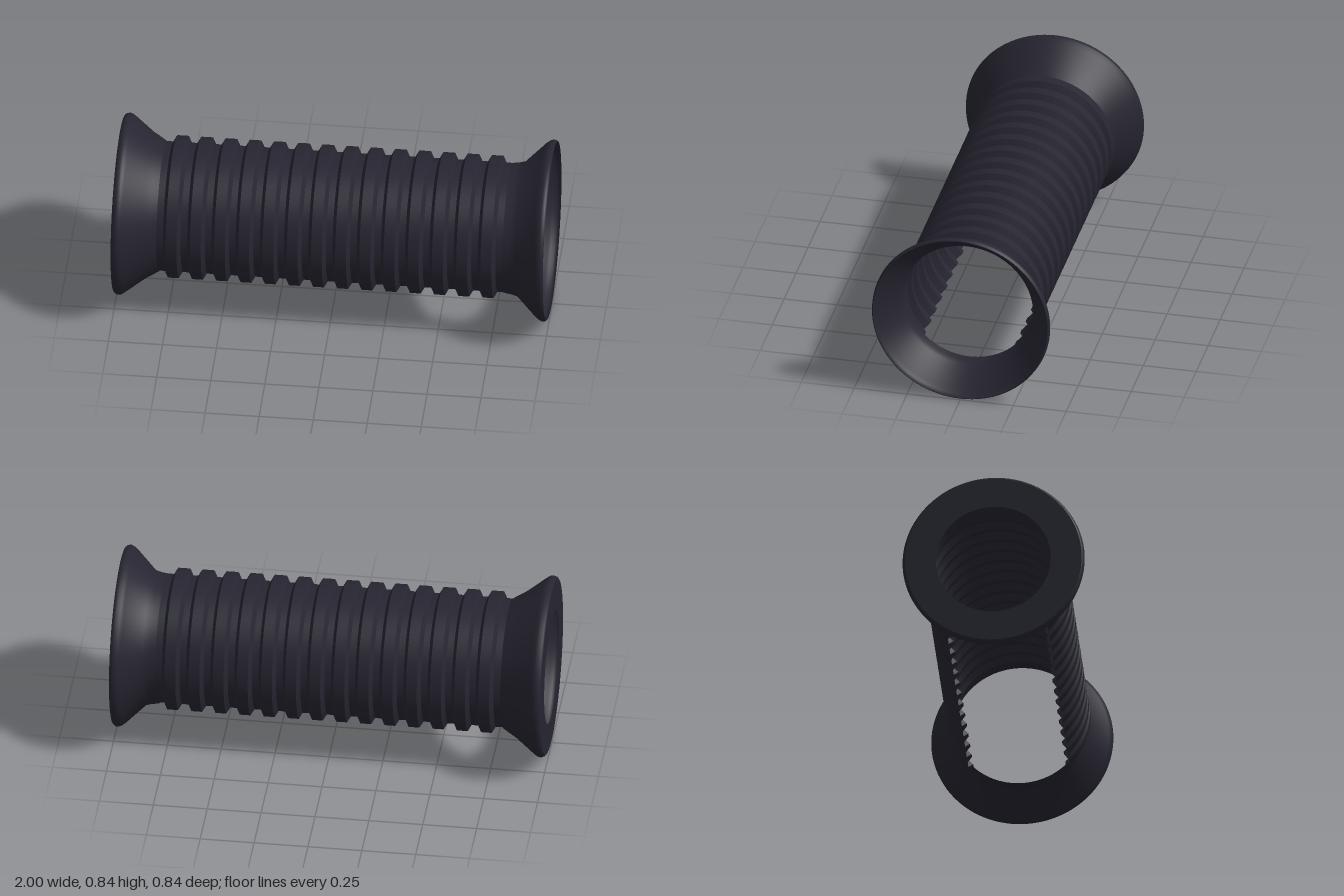
import * as THREE from 'three';
import { toCreasedNormals } from 'three/addons/utils/BufferGeometryUtils.js';

const AXIS_HEIGHT = 0.42;

export function createModel() {
  const model = new THREE.Group();
  model.name = 'ribbedGripSleeve';

  const rubber = new THREE.MeshStandardMaterial({ color: 0x262531, side: THREE.DoubleSide });
  rubber.name = 'darkRubber';

  // Revolve [x, radius] points around the horizontal x axis
  function revolve(name, points, start = 0, length = Math.PI * 2, segments = 96) {
    const profile = points.map(([x, r]) => new THREE.Vector2(r, x));
    let geometry = new THREE.LatheGeometry(profile, segments, start, length);
    geometry.rotateZ(-Math.PI / 2);
    geometry = toCreasedNormals(geometry, 0.6);
    const mesh = new THREE.Mesh(geometry, rubber);
    mesh.name = name;
    mesh.position.y = AXIS_HEIGHT;
    model.add(mesh);
  }

  // Ribbed sleeve, open for a quarter turn along the underside
  const ribs = 14, pitch = 0.112, groove = 0.3, crest = 0.33;
  const sleeve = [[-0.8, groove]];
  for (let i = 0; i < ribs; i++) {
    const x = (i - (ribs - 1) / 2) * pitch;
    sleeve.push([x - 0.041, groove], [x - 0.025, crest], [x + 0.025, crest], [x + 0.041, groove]);
  }
  sleeve.push([0.8, groove]);
  revolve('ribbedSleeve', sleeve, Math.PI * 0.75, Math.PI * 1.5);

  // Closed flange with a flat end face and a round hole
  revolve('endFace', [[-1, 0.265], [-1, 0.407]]);
  revolve('closedFlange', [
    [-1, 0.407], [-0.994, 0.415], [-0.98, 0.42], [-0.966, 0.417], [-0.95, 0.406],
    [-0.865, 0.34], [-0.83, 0.319], [-0.8, 0.3],
  ]);

  // Open funnel flange with a rolled rim
  revolve('funnelFlange', [
    [0.8, 0.3], [0.83, 0.304], [0.86, 0.312], [0.95, 0.401],
    [0.965, 0.413], [0.98, 0.42], [0.993, 0.418], [1, 0.412],
  ]);

  return model;
}
